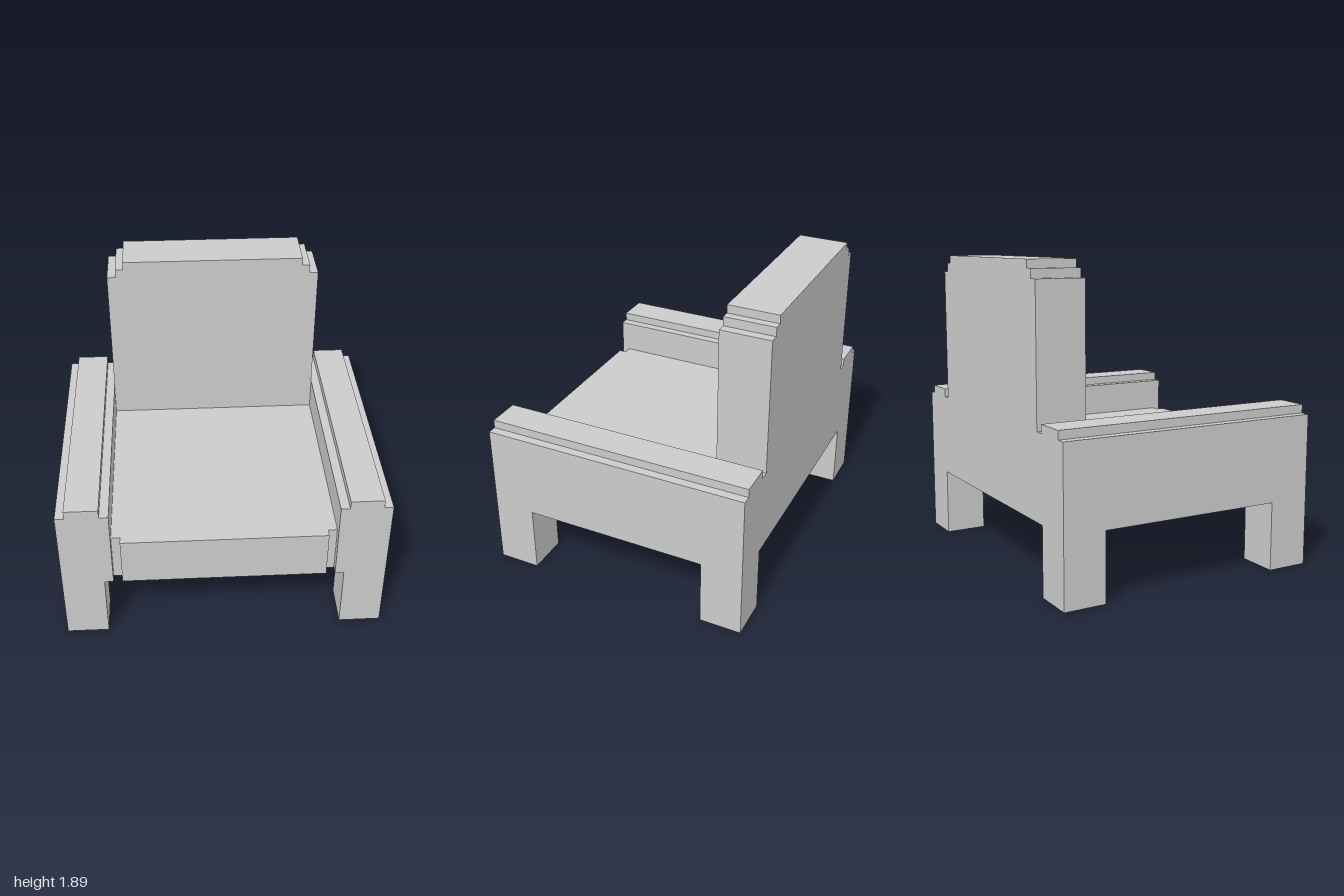
import * as THREE from 'three';

const material = new THREE.MeshStandardMaterial({ color: 0xcccccc, flatShading: true });
const DEPTH = 0.84; // half depth of the chair
const INNER = 0.685; // inner face of the arms
const BASE = 0.425; // underside of the seat and arms

// Extrudes an outline along one axis, starting at the given offset
function extrude(name, points, depth) {
  const shape = new THREE.Shape(points.map(([x, y]) => new THREE.Vector2(x, y)));
  const geometry = new THREE.ExtrudeGeometry(shape, { depth, bevelEnabled: false });
  const mesh = new THREE.Mesh(geometry, material);
  mesh.name = name;
  return mesh;
}

// Completes a right-hand outline with its mirror image
const mirrored = (half) => [...half, ...half.map(([x, y]) => [-x, y]).reverse()];

export function createModel() {
  const chair = new THREE.Group();
  chair.name = 'armchair';

  // Seat cushion: plan outline with notched front corners
  const seat = extrude('seat', mirrored([
    [INNER, 0.53], [INNER, -0.79], [0.63, -0.79], [0.63, -DEPTH],
  ]), 0.74 - BASE);
  seat.rotation.x = -Math.PI / 2;
  seat.position.y = BASE;
  chair.add(seat);

  // Backrest with stepped upper corners
  const back = extrude('backrest', mirrored([
    [INNER, BASE], [INNER, 1.79], [0.63, 1.79], [0.63, 1.845], [0.58, 1.845], [0.58, 1.895],
  ]), 0.31);
  back.position.z = -DEPTH;
  chair.add(back);

  for (const side of [1, -1]) {
    const label = side > 0 ? 'left' : 'right';

    // Arm with a raised strip along its top
    const centre = (1 + INNER) / 2;
    const half = (1 - INNER) / 2;
    const arm = extrude(label + 'Arm', mirrored([
      [half, BASE], [half, 0.947], [0.102, 0.947], [0.102, 1],
    ]), 2 * DEPTH);
    arm.position.set(side * centre, 0, -DEPTH);
    chair.add(arm);

    // Front and back legs, flush with the outer corners
    for (const end of [1, -1]) {
      const leg = new THREE.Mesh(new THREE.BoxGeometry(0.26, BASE, 0.262), material);
      leg.name = label + (end > 0 ? 'FrontLeg' : 'BackLeg');
      leg.position.set(side * 0.87, BASE / 2, end * (DEPTH - 0.131));
      chair.add(leg);
    }
  }
  return chair;
}
